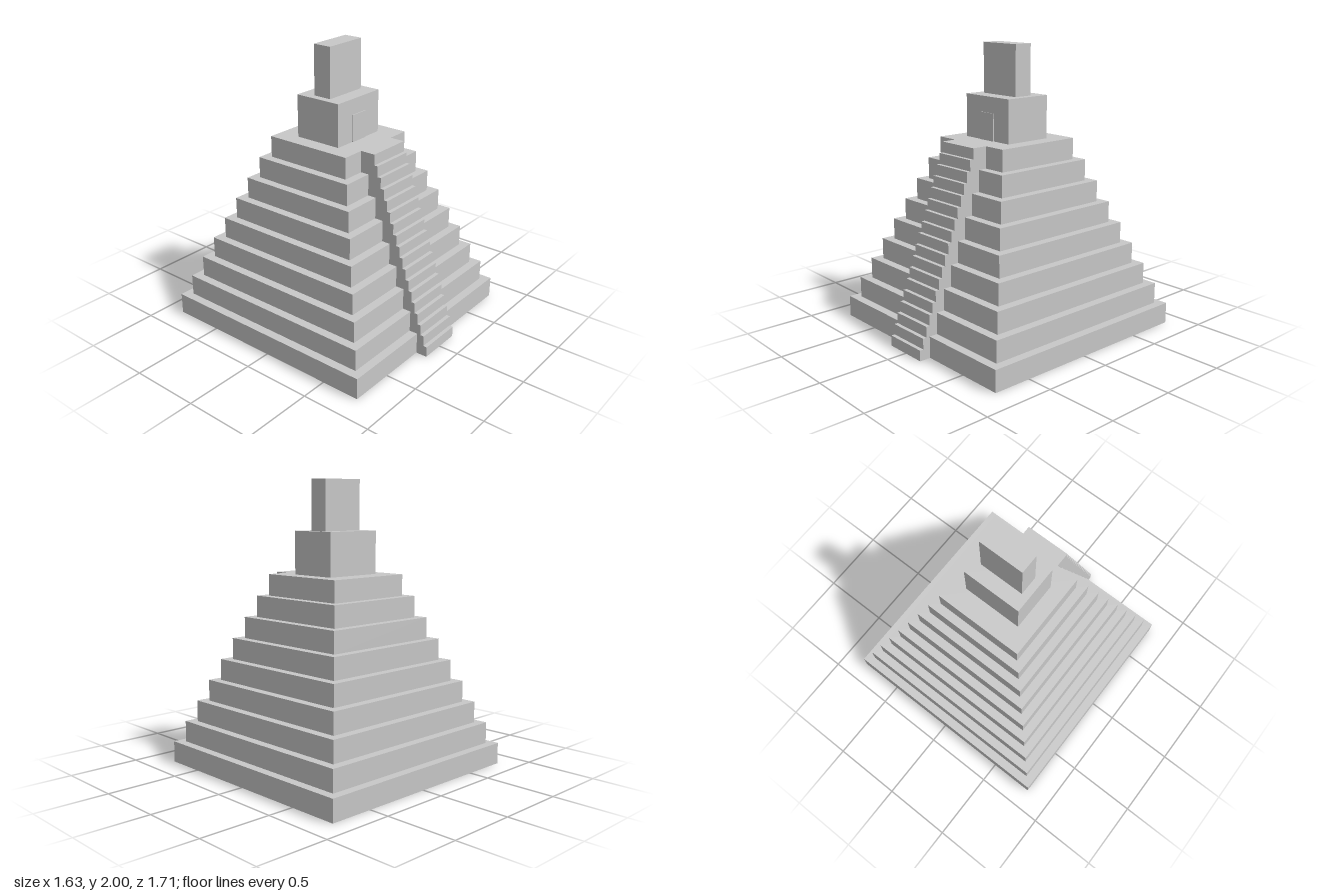
import * as THREE from 'three';

export function createModel() {
  const pyramid = new THREE.Group();
  pyramid.name = 'stepPyramid';
  const stone = new THREE.MeshStandardMaterial({ color: 0xc8c8c8 });
  stone.name = 'pale stone grey';

  const centreZ = -0.04;
  const add = (name, geometry) => {
    const mesh = new THREE.Mesh(geometry, stone);
    mesh.name = name;
    pyramid.add(mesh);
    return mesh;
  };
  // Box standing on height y
  const block = (name, w, h, d, y, z) =>
    add(name, new THREE.BoxGeometry(w, h, d)).position.set(0, y + h / 2, z);

  // Nine square terraces
  const tiers = 9, tierHeight = 0.15;
  for (let i = 0; i < tiers; i++) {
    const side = 1.633 - i * 0.1225;
    block(`terrace${i + 1}`, side, tierHeight, side, i * tierHeight, centreZ);
  }

  // Temple, doorway panel and roof comb
  const top = tiers * tierHeight;
  block('temple', 0.433, 0.3, 0.352, top, centreZ);
  block('doorway', 0.136, 0.19, 0.009, top, 0.138);
  block('roofComb', 0.326, 0.35, 0.136, top + 0.3, -0.043);

  // Front staircase: stepped side profile extruded across its width
  const steps = 18, rise = top / steps, run = 0.0272, width = 0.326;
  const profile = new THREE.Shape();
  profile.moveTo(0.7, 0);
  for (let i = 0; i < steps; i++) {
    const z = 0.857 - i * run;
    profile.lineTo(z, i * rise);
    profile.lineTo(z, (i + 1) * rise);
  }
  profile.lineTo(0.284, top);
  profile.lineTo(0.284, top - tierHeight);
  const stairs = new THREE.ExtrudeGeometry(profile, { depth: width, bevelEnabled: false });
  stairs.rotateY(-Math.PI / 2);
  stairs.translate(width / 2, 0, 0);
  add('staircase', stairs);

  return pyramid;
}
